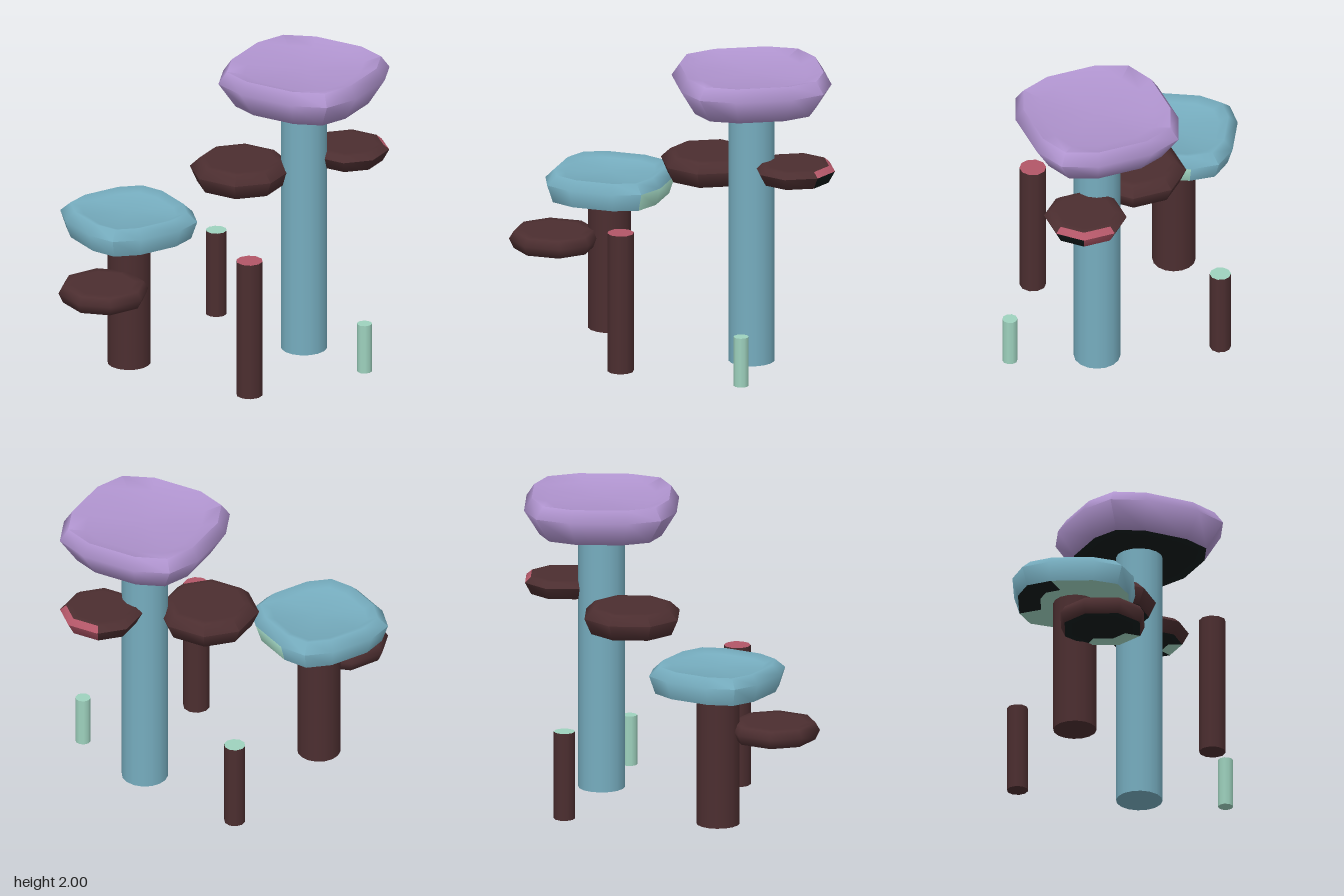
import * as THREE from 'three';
import { toCreasedNormals } from 'three/addons/utils/BufferGeometryUtils.js';

const palette = {
  purple: 0xb094cf, teal: 0x76adbf, brown: 0x4c2e30,
  mint: 0x9ed2be, rose: 0xb25667, black: 0x121b1b,
};

// Rounded-square outlines at unit size: 12 corners for large caps, 8 for shelves
const outline = (quarter) => [0, 1, 2, 3].flatMap((q) => quarter.map(([x, z]) => {
  const c = [1, 0, -1, 0][q], s = [0, 1, 0, -1][q];
  return [x * c - z * s, x * s + z * c];
}));
const LARGE = outline([[1, 0.38], [0.82, 0.82], [0.38, 1]]);
const SHELF = outline([[1, 0.44], [0.44, 1]]);

// Stacks scaled copies of an outline; paint(band, degrees) names each face's colour
function capGeometry(points, size, turn, rings, paint) {
  const c = Math.cos(turn), s = Math.sin(turn);
  const flat = points.map(([x, z]) => [(x * c - z * s) * size, (x * s + z * c) * size]);
  const faces = {};
  const n = flat.length;
  for (let band = 0; band < rings.length - 1; band++) {
    for (let i = 0; i < n; i++) {
      const j = (i + 1) % n;
      const [low, high] = [rings[band], rings[band + 1]];
      const at = ([scale, y], k) => [flat[k][0] * scale, y, flat[k][1] * scale];
      const mx = flat[i][0] + flat[j][0], mz = flat[i][1] + flat[j][1];
      const degrees = (THREE.MathUtils.radToDeg(Math.atan2(mz, mx)) + 360) % 360;
      const list = (faces[paint(band, degrees)] ??= []);
      if (high[0] > 0) list.push(...at(low, i), ...at(high, i), ...at(high, j));
      if (low[0] > 0) list.push(...at(low, i), ...at(high, j), ...at(low, j));
    }
  }
  const names = Object.keys(faces);
  const geometry = new THREE.BufferGeometry();
  geometry.setAttribute('position', new THREE.Float32BufferAttribute(names.flatMap((k) => faces[k]), 3));
  let start = 0;
  names.forEach((k, i) => {
    geometry.addGroup(start, faces[k].length / 3, i);
    start += faces[k].length / 3;
  });
  return { geometry: toCreasedNormals(geometry, 1.25), names };
}

export function createModel() {
  const group = new THREE.Group();
  const mats = {};
  for (const [name, color] of Object.entries(palette)) {
    mats[name] = new THREE.MeshStandardMaterial({ color });
    mats[name].name = name;
  }

  function stem(name, x, z, radius, height, side, top = side, sides = 10) {
    const mesh = new THREE.Mesh(
      new THREE.CylinderGeometry(radius, radius, height, sides),
      [mats[side], mats[top], mats[side]]);
    mesh.position.set(x, height / 2, z);
    mesh.name = name;
    group.add(mesh);
  }

  // y and scale give the underside, widest line and top; dish sinks the middle
  function cap(name, points, x, z, size, turn, y, scale, dish, paint) {
    const rings = [
      [0, y[0]], [scale[0] * 0.6, y[0]], [scale[0], y[0]], [1, y[1]],
      [scale[1], y[2]], [0.7, y[2] - dish], [0, y[2] - dish],
    ];
    const { geometry, names } = capGeometry(points, size, turn, rings, paint);
    const mesh = new THREE.Mesh(geometry, names.map((k) => mats[k]));
    mesh.position.set(x, 0, z);
    mesh.name = name;
    group.add(mesh);
  }

  // Stems
  stem('tallStem', 0.35, -0.48, 0.153, 1.78, 'teal', 'teal', 16);
  stem('middleStem', -0.51, 0.32, 0.142, 0.94, 'brown', 'brown', 16);
  stem('frontStalk', 0.45, 0.405, 0.088, 0.945, 'brown', 'rose');
  stem('backStalk', -0.435, -0.69, 0.07, 0.59, 'brown', 'mint');
  stem('sideStalk', 0.9, -0.32, 0.05, 0.335, 'mint');

  // Large dished caps
  cap('tallCap', LARGE, 0.35, -0.48, 0.5, 0, [1.75, 1.92, 2], [0.8, 0.9], 0.03,
    (band) => (band < 2 ? 'black' : 'purple'));
  cap('middleCap', LARGE, -0.515, 0.315, 0.397, 0.49, [0.91, 1.03, 1.09], [0.91, 0.85], 0.025,
    (band, a) => {
      if (band < 2) return band === 1 && a > 140 && a < 215 ? 'black' : 'mint';
      return band === 2 && a > 280 && a < 345 ? 'mint' : 'teal';
    });

  // Flat shelf caps with a pale strip under one edge
  const shelfPaint = (from, to) => (band, a) => {
    if (band > 1) return 'brown';
    return band === 1 && a > from && a < to ? 'mint' : 'black';
  };
  cap('tallStemFrontShelf', SHELF, -0.005, -0.265, 0.306, 0, [1.165, 1.27, 1.33], [0.86, 0.81], 0,
    shelfPaint(250, 290));
  cap('middleStemShelf', SHELF, -0.49, 0.69, 0.273, 0.47, [0.575, 0.64, 0.69], [0.9, 0.9], 0,
    shelfPaint(280, 350));
  const plain = shelfPaint(-1, 40);
  cap('tallStemBackShelf', SHELF, 0.535, -0.737, 0.248, 0, [1.275, 1.355, 1.39], [0.84, 0.85], 0,
    (band, a) => {
      if ((band === 2 || band === 3) && a > 250 && a < 290) return 'rose';
      if (band === 3 && a > 290 && a < 330) return 'rose';
      if (band === 2 && a > 290 && a < 330) return 'black';
      return plain(band, a);
    });
  return group;
}
